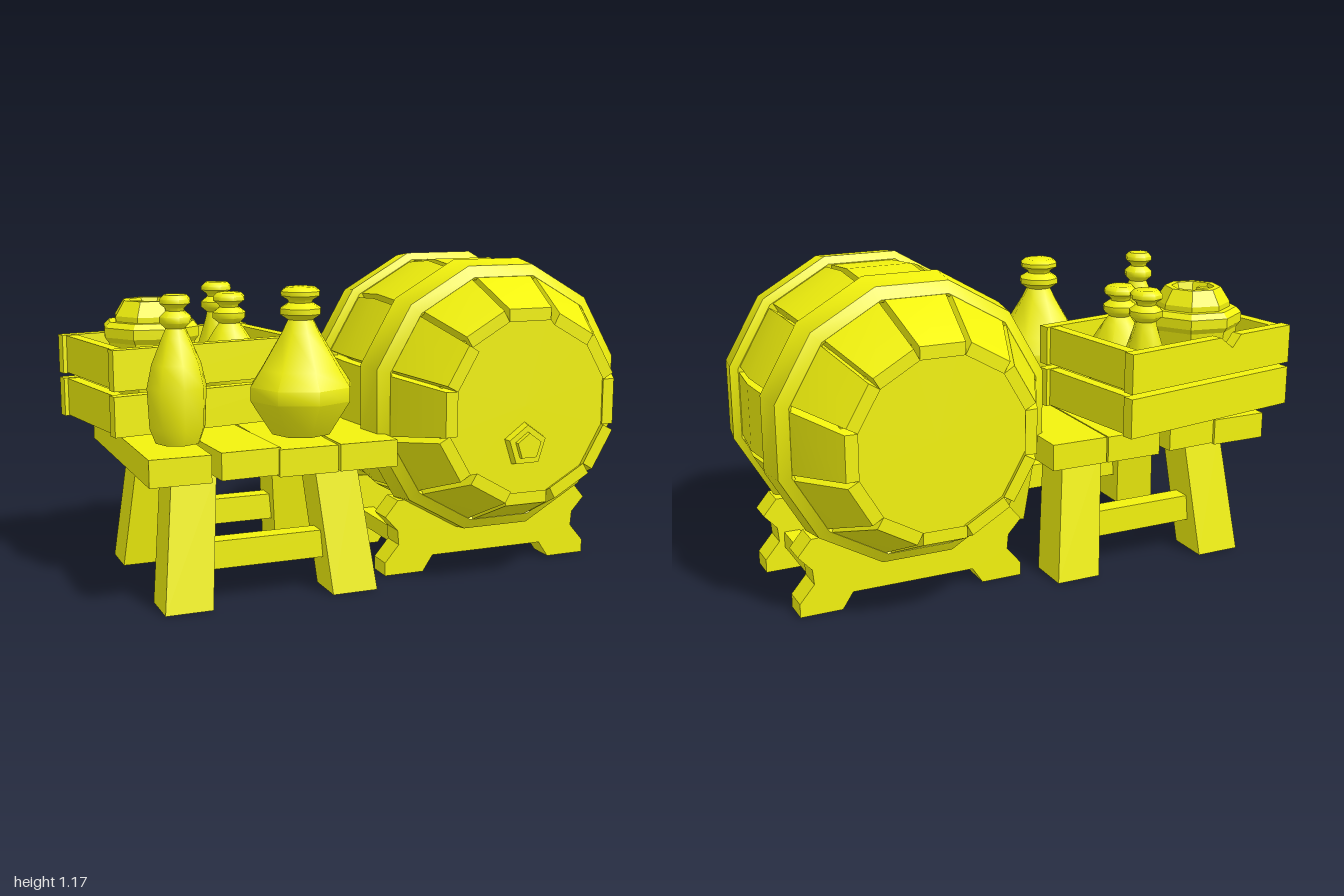
import * as THREE from 'three';
import { toCreasedNormals } from 'three/addons/utils/BufferGeometryUtils.js';

const mat = new THREE.MeshStandardMaterial({ color: 0xf2f20d });
const V = (x, y, z) => new THREE.Vector3(x, y, z);

function add(parent, name, geo, x = 0, y = 0, z = 0) {
  const m = new THREE.Mesh(geo, mat);
  m.name = name;
  m.position.set(x, y, z);
  parent.add(m);
  return m;
}

function group(parent, name, x = 0, y = 0, z = 0) {
  const g = new THREE.Group();
  g.name = name;
  g.position.set(x, y, z);
  parent.add(g);
  return g;
}

const box = (w, h, d) => new THREE.BoxGeometry(w, h, d);

// Skin a row of equal-sized loops, counter-clockwise about the direction of travel, with end caps
function loft(loops, crease = 0.4) {
  const pos = [], n = loops[0].length;
  const tri = (...pts) => pts.forEach(p => pos.push(p.x, p.y, p.z));
  for (let i = 0; i < loops.length - 1; i++)
    for (let j = 0; j < n; j++) {
      const k = (j + 1) % n, a = loops[i], b = loops[i + 1];
      tri(a[j], a[k], b[k]);
      tri(a[j], b[k], b[j]);
    }
  const first = loops[0], last = loops[loops.length - 1];
  for (let j = 1; j < n - 1; j++) {
    tri(first[0], first[j + 1], first[j]);
    tri(last[0], last[j], last[j + 1]);
  }
  const g = new THREE.BufferGeometry();
  g.setAttribute('position', new THREE.Float32BufferAttribute(pos, 3));
  return toCreasedNormals(g, crease);
}

function lathe(profile, sides, crease, start = 0) {
  const pts = profile.map(([r, y]) => new THREE.Vector2(r, y));
  return toCreasedNormals(new THREE.LatheGeometry(pts, sides, start), crease);
}

function makeBarrel(root) {
  const g = group(root, 'barrel', 0.485, 0.66, 0);
  const t = Math.tan(Math.PI / 12), c = Math.cos(Math.PI / 12);
  // Twelve bulged staves of uneven length
  const long = [false, true, false, true, true, false, true, false, true, false, true, false];
  for (let i = 0; i < 12; i++) {
    // i runs anticlockwise from the right-hand stave
    const isLong = [1, 0, 0, 0, 0, 0, 0, 0, 0, 0, 0, 0].length && [2, 5, 8, 11].includes(i);
    const end = isLong || (long[i] && i > 5) ? 0.57 : 0.54;
    const stations = [[-0.57, 0.34], [-0.34, 0.45], [-0.2, 0.475], [0, 0.495],
      [0.2, 0.475], [0.34, 0.45], [end, end > 0.55 ? 0.34 : 0.354]];
    const loops = stations.map(([z, r]) => {
      const yi = r - 0.045, wi = yi * t, wo = r * t - 0.011;
      return [V(-wi, yi, z), V(wi, yi, z), V(wo, r, z), V(-wo, r, z)];
    });
    add(g, 'stave', loft(loops, 0.5)).rotation.z = i * Math.PI / 6 - Math.PI / 2;
  }
  // Recessed heads
  for (const s of [-1, 1]) {
    const head = new THREE.CylinderGeometry(0.335 / c, 0.335 / c, 0.02, 12, 1, false, Math.PI / 12);
    add(g, 'head', head.rotateX(Math.PI / 2), 0, 0, s * 0.505);
    // Hoops
    const ring = [[0.44, 0.335], [0.44, 0.185], [0.48, 0.18], [0.506, 0.2], [0.49, 0.315], [0.45, 0.342], [0.44, 0.335]]
      .map(([r, z]) => [r / c, z]);
    const hoop = lathe(ring, 12, 0.55, Math.PI / 12).rotateX(Math.PI / 2);
    if (s < 0) hoop.rotateY(Math.PI);
    add(g, 'hoop', hoop);
  }
  // Five-sided plug, point upward
  for (const [r, z] of [[0.085, 0.525], [0.055, 0.54]]) {
    const plug = new THREE.CylinderGeometry(r * 0.9, r, 0.035, 5, 1, false, Math.PI);
    add(g, 'plug', toCreasedNormals(plug.rotateX(Math.PI / 2), 0.4), 0, -0.14, z);
  }
}

function makeStand(root) {
  const g = group(root, 'barrelStand', 0.485, 0, 0);
  // Half outline of a cradle, mirrored about the middle
  const half = [[0.23, 0.06], [0.27, 0], [0.425, 0], [0.425, 0.05], [0.37, 0.115],
    [0.375, 0.17], [0.425, 0.225], [0.375, 0.285], [0.31, 0.285], [0.14, 0.17]];
  const outline = [...half, ...half.map(([x, y]) => [-x, y]).reverse()];
  const shape = new THREE.Shape(outline.map(p => new THREE.Vector2(...p)));
  const geo = new THREE.ExtrudeGeometry(shape, { depth: 0.1, bevelEnabled: false });
  for (const z of [0.15, -0.275]) add(g, 'cradle', geo, 0, 0, z);
  for (const s of [-1, 1]) add(g, 'standRail', box(0.06, 0.06, 0.4), s * 0.32, 0.12, -0.01);
}

function makeBench(root) {
  const g = group(root, 'bench', -0.422, 0, -0.013);
  // Plank x, length, turn and lift
  const planks = [[-0.34, 0.89, 0, 0], [-0.118, 0.88, 0.06, 0.004], [0.115, 0.89, 0, -0.002], [0.338, 0.895, 0, 0]];
  for (const [x, len, turn, lift] of planks)
    add(g, 'plank', box(0.215, 0.096, len), x, 0.511 + lift, 0).rotation.y = turn;
  // Splayed legs
  const quad = (x, y, z, w, d) => [V(x - w, y, z + d), V(x + w, y, z + d), V(x + w, y, z - d), V(x - w, y, z - d)];
  for (const sz of [-1, 1]) {
    for (const sx of [-1, 1])
      add(g, 'leg', loft([quad(sx * 0.307, 0, sz * 0.315, 0.085, 0.082),
        quad(sx * 0.26, 0.47, sz * 0.24, 0.08, 0.078)]));
    add(g, 'brace', box(0.5, 0.1, 0.07), 0, 0.172, sz * 0.285);
  }
}

function makeCrate(root) {
  const g = group(root, 'crate', -0.57, 0, -0.225);
  g.rotation.y = 0.17;
  add(g, 'crateFloor', box(0.72, 0.03, 0.5), 0, 0.585, 0);
  for (const y of [0.645, 0.808]) {
    add(g, 'frontBoard', box(0.775, 0.145, 0.045), 0, y, 0.247);
    for (const s of [-1, 1]) add(g, 'sideBoard', box(0.045, 0.14, 0.46), s * 0.35, y, 0);
  }
  add(g, 'backBoard', box(0.775, 0.145, 0.045), 0, 0.645, -0.247);
  // Chipped upper back board
  const s = new THREE.Shape([[-0.388, 0.735], [0.388, 0.735], [0.388, 0.88], [-0.03, 0.88],
    [-0.09, 0.835], [-0.13, 0.88], [-0.388, 0.88]].map(p => new THREE.Vector2(...p)));
  add(g, 'chippedBoard', new THREE.ExtrudeGeometry(s, { depth: 0.045, bevelEnabled: false }), 0, 0, -0.27);
}

// Bottle with a rim ring and cork on top of the given body profile
function makeBottle(root, name, x, z, body, neck, top) {
  const g = group(root, name, x, 0, z);
  const n = neck, y = top - 0.1;
  const profile = [[0, body[0][1]], ...body, [n * 0.75, y - 0.015], [n * 1.2, y + 0.005], [n * 1.2, y + 0.025], [n * 0.7, y + 0.045]];
  add(g, 'glass', lathe(profile, 8, 0.85));
  add(g, 'cork', lathe([[n * 0.6, y + 0.03], [n * 0.75, y + 0.055], [n * 1.15, y + 0.07],
    [n * 1.15, y + 0.085], [n * 0.85, top], [0, top]], 8, 0.85));
}

function makePot(root) {
  const g = group(root, 'pot', -0.69, 0, -0.22);
  add(g, 'potBody', lathe([[0, 0.6], [0.13, 0.6], [0.17, 0.87], [0.185, 0.89], [0.185, 0.925], [0.165, 0.945],
    [0.14, 0.945], [0.14, 0.965], [0.105, 1.02], [0.08, 1.02], [0.07, 0.985], [0, 0.985]], 8, 0.3, 0.2));
  add(g, 'potPlug', new THREE.CylinderGeometry(0.025, 0.03, 0.03, 5), -0.04, 0.998, -0.01);
}

export function createModel() {
  const root = new THREE.Group();
  root.name = 'barrelAndBench';
  makeBarrel(root);
  makeStand(root);
  makeBench(root);
  makeCrate(root);
  makePot(root);
  makeBottle(root, 'tallBottle', -0.71, 0.21,
    [[0.08, 0.565], [0.1, 0.62], [0.106, 0.76], [0.088, 0.84], [0.05, 0.93]], 0.047, 1.077);
  makeBottle(root, 'wideBottle', -0.255, 0.21,
    [[0.11, 0.565], [0.19, 0.69], [0.19, 0.74], [0.15, 0.8], [0.07, 0.93]], 0.064, 1.088);
  makeBottle(root, 'crateFlask', -0.4, -0.175,
    [[0.09, 0.6], [0.13, 0.72], [0.13, 0.79], [0.06, 0.9]], 0.054, 1.04);
  makeBottle(root, 'crateBottle', -0.39, -0.375,
    [[0.07, 0.6], [0.085, 0.66], [0.085, 0.8], [0.045, 0.92]], 0.052, 1.062);
  return root;
}
